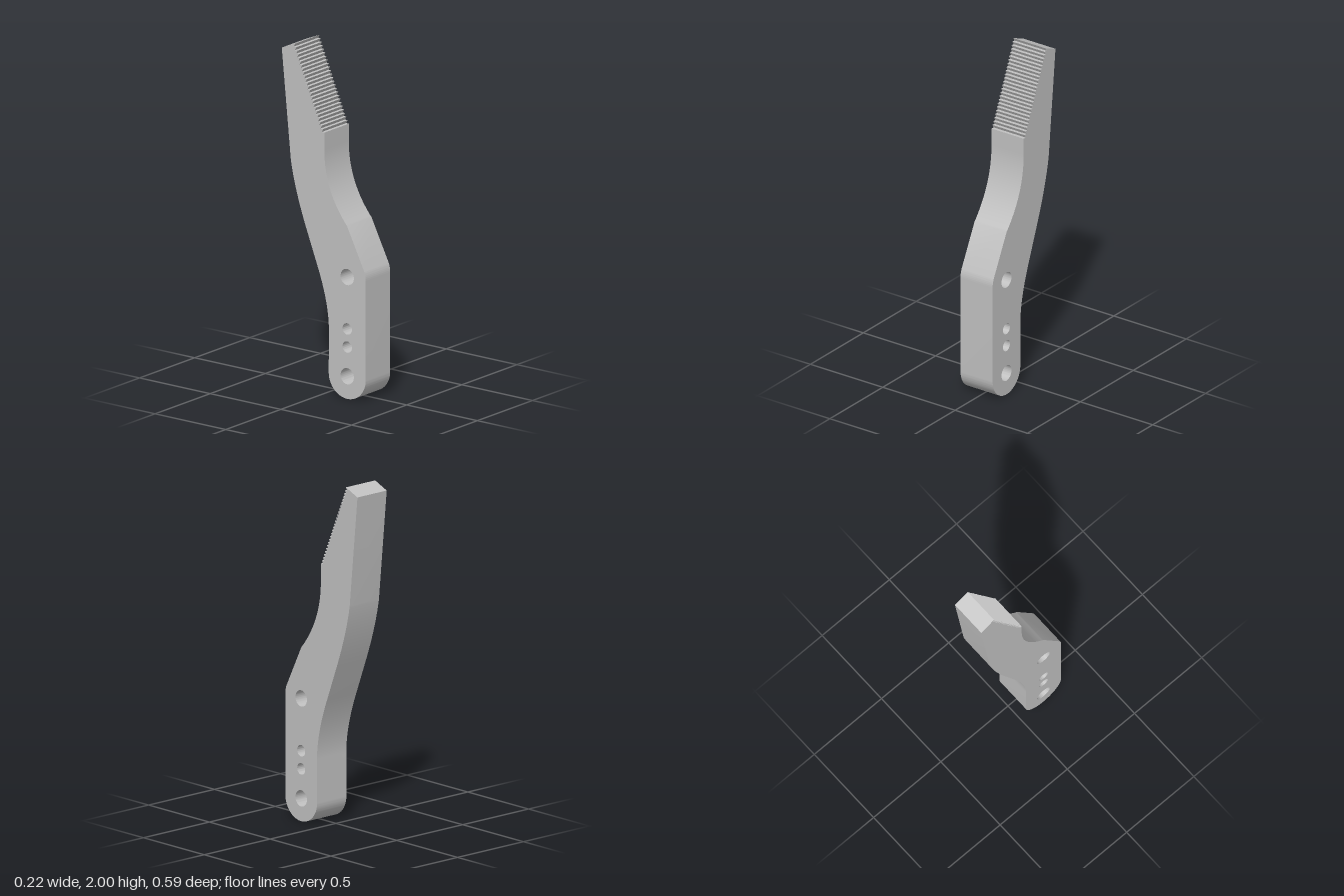
import * as THREE from 'three';
import { toCreasedNormals } from 'three/addons/utils/BufferGeometryUtils.js';

const WIDTH = 0.222;

// Side profile: shape x is the model's z, shape y is up
function leverProfile() {
  const s = new THREE.Shape();

  // rounded foot and straight front
  s.moveTo(0.036, 0.131);
  s.absarc(0.166, 0.131, 0.131, Math.PI, 2 * Math.PI, false);
  s.lineTo(0.297, 0.71);
  s.quadraticCurveTo(0.297, 0.742, 0.283, 0.769);

  // shoulder and concave neck
  s.lineTo(0.165, 1.005);
  s.quadraticCurveTo(0.004, 1.187, 0.004, 1.42);
  s.lineTo(0.004, 1.52);

  // sawtooth grip: flat ledge back, then undercut face out to the next tip
  const teeth = 25, depth = 0.019;
  const dz = -0.206 / teeth, dy = 0.48 / teeth;
  for (let i = 0; i < teeth; i++) {
    const z = 0.004 + i * dz, y = 1.52 + i * dy;
    s.lineTo(z - depth, y);
    s.lineTo(z + dz, y + dy);
  }

  // sloping tip and S-shaped back
  s.lineTo(-0.297, 1.96);
  s.lineTo(-0.233, 1.32);
  s.quadraticCurveTo(-0.207, 1.16, -0.127, 0.95);
  s.lineTo(-0.05, 0.75);
  s.quadraticCurveTo(0.036, 0.535, 0.036, 0.38);
  s.closePath();

  // pivot and pin holes: height, radius
  for (const [y, r] of [[0.132, 0.047], [0.302, 0.033], [0.407, 0.033], [0.709, 0.047]]) {
    const hole = new THREE.Path();
    hole.absarc(0.166, y, r, 0, Math.PI * 2, true);
    s.holes.push(hole);
  }
  return s;
}

export function createModel() {
  const group = new THREE.Group();
  group.name = 'lever';

  const grey = new THREE.MeshStandardMaterial({ color: 0xc0c0c0 });
  grey.name = 'light grey';

  const extruded = new THREE.ExtrudeGeometry(leverProfile(), {
    depth: WIDTH, bevelEnabled: false, curveSegments: 32,
  });
  extruded.translate(0, 0, -WIDTH / 2);
  extruded.rotateY(-Math.PI / 2);

  const body = new THREE.Mesh(toCreasedNormals(extruded, 0.4), grey);
  body.name = 'leverBody';
  group.add(body);
  return group;
}
